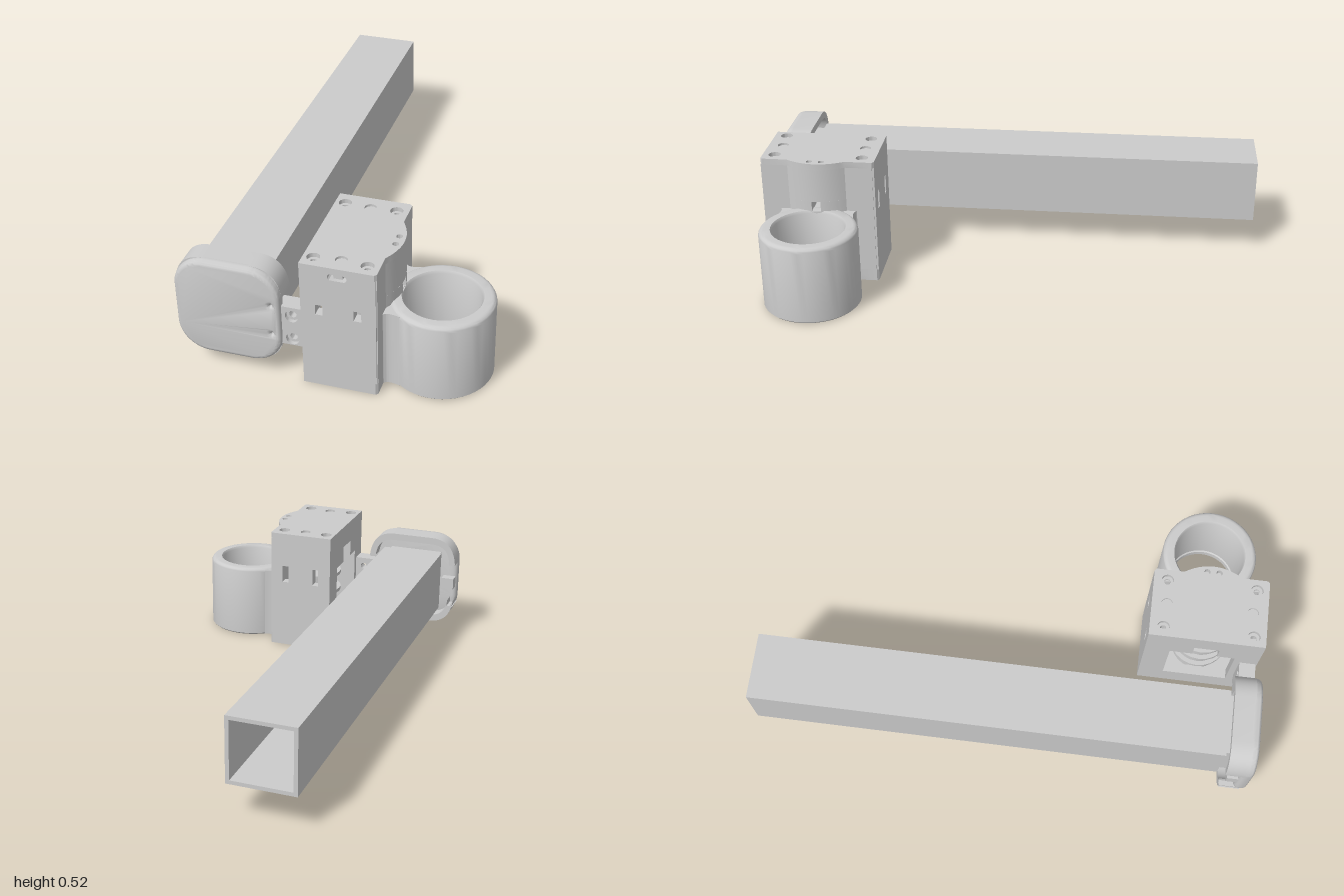
import * as THREE from 'three';
import { toCreasedNormals } from 'three/addons/utils/BufferGeometryUtils.js';

const material = new THREE.MeshStandardMaterial({ color: 0xcccccc });

function add(parent, name, geometry) {
  const mesh = new THREE.Mesh(toCreasedNormals(geometry, 0.6), material);
  mesh.name = name;
  parent.add(mesh);
  return mesh;
}

// Rounded rectangle between two corners, drawn as a Shape or a Path
function rect(x0, y0, x1, y1, r = 0, Type = THREE.Shape) {
  const p = new Type();
  if (r === 0) {
    p.moveTo(x0, y0); p.lineTo(x1, y0); p.lineTo(x1, y1); p.lineTo(x0, y1); p.closePath();
    return p;
  }
  p.moveTo(x0 + r, y0);
  p.absarc(x1 - r, y0 + r, r, -Math.PI / 2, 0);
  p.absarc(x1 - r, y1 - r, r, 0, Math.PI / 2);
  p.absarc(x0 + r, y1 - r, r, Math.PI / 2, Math.PI);
  p.absarc(x0 + r, y0 + r, r, Math.PI, Math.PI * 1.5);
  p.closePath();
  return p;
}
const slot = (x0, y0, x1, y1, r = 0) => rect(x0, y0, x1, y1, r, THREE.Path);
const circle = (x, y, r) => new THREE.Path().absarc(x, y, r, 0, Math.PI * 2, true);
function cut(shape, ...holes) {
  shape.holes.push(...holes);
  return shape;
}

// Extrusions along z, y (shape drawn in x,z) and x (shape drawn in z,y)
function alongZ(shape, z0, z1, options = {}) {
  return new THREE.ExtrudeGeometry(shape, { depth: z1 - z0, bevelEnabled: false, curveSegments: 12, ...options }).translate(0, 0, z0);
}
const alongY = (shape, y0, y1) => alongZ(shape, 0, y1 - y0).rotateX(Math.PI / 2).translate(0, y1, 0);
const alongX = (shape, x0, x1) => alongZ(shape, 0, x1 - x0).rotateY(-Math.PI / 2).translate(x1, 0, 0);
function box(x0, x1, y0, y1, z0, z1) {
  return new THREE.BoxGeometry(x1 - x0, y1 - y0, z1 - z0)
    .translate((x0 + x1) / 2, (y0 + y1) / 2, (z0 + z1) / 2);
}

function buildTube() {
  const g = new THREE.Group();
  g.name = 'squareTube';
  const section = cut(rect(-0.5, 0.14, -0.235, 0.4), slot(-0.485, 0.155, -0.25, 0.385));
  add(g, 'tubeWalls', alongZ(section, -1, 0.88));
  add(g, 'tubePlug', box(-0.484, -0.251, 0.156, 0.384, 0.82, 0.96));
  return g;
}

function buildCap() {
  const g = new THREE.Group();
  g.name = 'endCap';
  const b = 0.018, cy = 0.265;
  // Bevelled face plate with two countersunk holes
  const face = cut(rect(-0.562 + b, 0.065 + b, -0.163 - b, 0.465 - b, 0.1),
    circle(-0.197, 0.323, 0.012 + b * 0.5), circle(-0.197, 0.2, 0.012 + b * 0.5));
  add(g, 'capFace', alongZ(face, 0.965, 0.98, { bevelEnabled: true, bevelSize: b, bevelThickness: b, bevelSegments: 4 }));
  // Two U-shaped rims leaving a gap on either side
  for (const s of [1, -1]) {
    const u = new THREE.Shape();
    const end = s > 0 ? 0.345 : 0.15, top = cy + 0.2 * s, inner = top - 0.03 * s;
    u.moveTo(-0.562, end);
    u.lineTo(-0.562, top - 0.11 * s);
    u.quadraticCurveTo(-0.55, top, -0.45, top);
    u.lineTo(-0.275, top);
    u.quadraticCurveTo(-0.175, top, -0.163, top - 0.11 * s);
    u.lineTo(-0.163, end);
    u.lineTo(-0.183, end);
    u.lineTo(-0.19, top - 0.11 * s);
    u.quadraticCurveTo(-0.2, inner, -0.275, inner);
    u.lineTo(-0.45, inner);
    u.quadraticCurveTo(-0.53, inner, -0.535, top - 0.11 * s);
    u.lineTo(-0.535, end);
    u.closePath();
    add(g, s > 0 ? 'upperRim' : 'lowerRim', alongZ(u, 0.888, 0.972));
  }
  add(g, 'sideClip', box(-0.555, -0.5, 0.225, 0.275, 0.905, 0.97));
  return g;
}

function buildTab() {
  const g = new THREE.Group();
  g.name = 'mountingTab';
  const layer = (r) => cut(rect(-0.18, 0.155, -0.07, 0.32), circle(-0.125, 0.282, r), circle(-0.125, 0.183, r));
  add(g, 'tabPlate', alongZ(layer(0.014), 0.915, 0.965));
  add(g, 'tabCounterbores', alongZ(layer(0.025), 0.965, 0.98));
  return g;
}

const CX = 0.367, CZ = 0.762;

function buildHousing() {
  const g = new THREE.Group();
  g.name = 'housing';
  const x0 = -0.088, x1 = 0.19, z0 = 0.53, z1 = 0.985, t = 0.04, yb = 0.05, yt = 0.5;

  // Plan outline with a curved bulge on the side facing the ring
  const outline = () => {
    const s = new THREE.Shape();
    s.moveTo(x0, z0);
    s.lineTo(x1 - 0.008, z0);
    s.lineTo(x1, z0 + 0.008);
    s.lineTo(x1, CZ - 0.115);
    s.quadraticCurveTo(0.262, CZ, x1, CZ + 0.115);
    s.lineTo(x1, z1 - 0.008);
    s.lineTo(x1 - 0.008, z1);
    s.lineTo(x0, z1);
    s.closePath();
    return s;
  };
  const corners = [];
  for (const x of [-0.05, 0.145]) for (const z of [0.585, 0.937]) corners.push([x, z]);
  const centres = [[0.048, 0.59], [0.048, 0.927]];
  const pins = [[0.2, 0.737], [0.2, 0.785]];

  add(g, 'topPlate', alongY(cut(outline(),
    ...corners.map(([x, z]) => circle(x, z, 0.024)),
    ...centres.map(([x, z]) => circle(x, z, 0.022)),
    ...pins.map(([x, z]) => circle(x, z, 0.012))), yt, 0.525));
  add(g, 'bottomPlate', alongY(cut(outline(), ...corners.map(([x, z]) => circle(x, z, 0.022))), 0, yb));

  // Screws sunk into the plates
  for (const [x, z] of corners) {
    const ring = new THREE.Shape().absarc(x, z, 0.026, 0, Math.PI * 2);
    add(g, 'screwSeat', alongY(cut(ring, circle(x, z, 0.012)), 0.44, 0.508));
    add(g, 'screw', new THREE.CylinderGeometry(0.013, 0.013, 0.03, 16).translate(x, 0.45, z));
    add(g, 'bottomScrew', new THREE.CylinderGeometry(0.024, 0.024, 0.02, 16).translate(x, 0.045, z));
  }
  for (const [x, z] of centres) {
    add(g, 'topPin', new THREE.CylinderGeometry(0.0225, 0.0225, 0.05, 20).translate(x, 0.491, z));
  }

  // Front and back walls with matching slots
  const wall = () => rect(x0, yb, x1 - 0.003, yt);
  add(g, 'frontWall', alongZ(cut(wall(), slot(-0.034, 0.316, -0.007, 0.358),
    slot(0.106, 0.316, 0.134, 0.358), slot(0.014, 0.474, 0.084, 0.4995, 0.012)), z1 - t, z1));
  add(g, 'slotNut', box(0.032, 0.066, 0.46, 0.505, z1 - t - 0.01, z1 - 0.015));
  add(g, 'backWall', alongZ(cut(wall(), slot(-0.034, 0.3, -0.007, 0.375),
    slot(0.106, 0.3, 0.134, 0.375)), z0, z0 + t));

  // Open side with a stepped window
  const window = new THREE.Path();
  [[0.63, 0.1], [0.89, 0.1], [0.89, 0.36], [0.82, 0.36], [0.82, 0.43], [0.72, 0.43], [0.72, 0.36], [0.63, 0.36]]
    .forEach(([z, y], i) => (i ? window.lineTo(z, y) : window.moveTo(z, y)));
  window.closePath();
  add(g, 'windowWall', alongX(cut(rect(z0 + t, yb, z1 - t, yt), window), x0, x0 + t));
  add(g, 'innerDrum', new THREE.CylinderGeometry(0.1, 0.1, 0.24, 24).translate(0.06, 0.17, CZ));
  for (const y of [0.13, 0.21, 0.29]) {
    add(g, 'drumRib', new THREE.CylinderGeometry(0.118, 0.118, 0.015, 24).translate(0.06, y, CZ));
  }

  // Bulged side, interrupted by a small slot
  const sideShape = (from, to) => {
    const s = new THREE.Shape();
    s.moveTo(x1 - t, from);
    const n = 12;
    for (let i = 0; i <= n; i++) {
      const z = from + ((to - from) * i) / n;
      const u = Math.min(1, Math.abs(z - CZ) / 0.115);
      s.lineTo(x1 + 0.036 * (1 - u * u), z);
    }
    s.lineTo(x1 - t, to);
    s.closePath();
    return s;
  };
  const zs = z0 + 0.008, ze = z1 - 0.008;
  for (const [a, b] of [[yb, 0.32], [0.362, yt]]) {
    add(g, 'bulgedWall', alongY(sideShape(CZ - 0.115, CZ + 0.115), a, b));
  }
  add(g, 'bulgedWall', alongY(sideShape(CZ - 0.115, CZ - 0.018), 0.32, 0.362));
  add(g, 'bulgedWall', alongY(sideShape(CZ + 0.018, CZ + 0.115), 0.32, 0.362));
  add(g, 'sideWall', box(x1 - t, x1, yb, yt, zs, CZ - 0.115));
  add(g, 'sideWall', box(x1 - t, x1, yb, yt, CZ + 0.115, ze));
  return g;
}

function buildRing() {
  const g = new THREE.Group();
  g.name = 'ringHolder';
  const R = 0.193, h = 0.322, f = 0.02;
  // Sleeve with a rounded top edge and a chamfered bore
  const profile = [[0.136, 0], [R - 0.006, 0], [R, 0.006]];
  for (let i = 0; i <= 5; i++) {
    const a = (i / 5) * Math.PI / 2;
    profile.push([R - f + f * Math.cos(a), h - f + f * Math.sin(a)]);
  }
  profile.push([0.147, h], [0.141, h - 0.01], [0.141, 0.03], [0.136, 0.025], [0.136, 0]);
  add(g, 'sleeve', new THREE.LatheGeometry(profile.map(([x, y]) => new THREE.Vector2(x, y)), 48)
    .translate(CX, 0, CZ));
  // Filleted neck joining the sleeve to the housing
  const neck = new THREE.Shape();
  neck.moveTo(0.18, CZ - 0.155);
  neck.lineTo(0.19, CZ - 0.155);
  neck.quadraticCurveTo(0.202, CZ - 0.138, 0.25, CZ - 0.153);
  neck.absarc(CX, CZ, 0.16, Math.PI * 1.292, Math.PI * 0.708, true);
  neck.lineTo(0.25, CZ + 0.153);
  neck.quadraticCurveTo(0.202, CZ + 0.138, 0.19, CZ + 0.155);
  neck.lineTo(0.18, CZ + 0.155);
  neck.closePath();
  add(g, 'neck', alongY(neck, 0.001, 0.312));
  add(g, 'boreKey', box(0.22, 0.25, 0.03, 0.06, CZ - 0.012, CZ + 0.012));
  return g;
}

export function createModel() {
  const model = new THREE.Group();
  model.name = 'tubeMountedHolder';
  model.add(buildTube(), buildCap(), buildTab(), buildHousing(), buildRing());
  return model;
}
